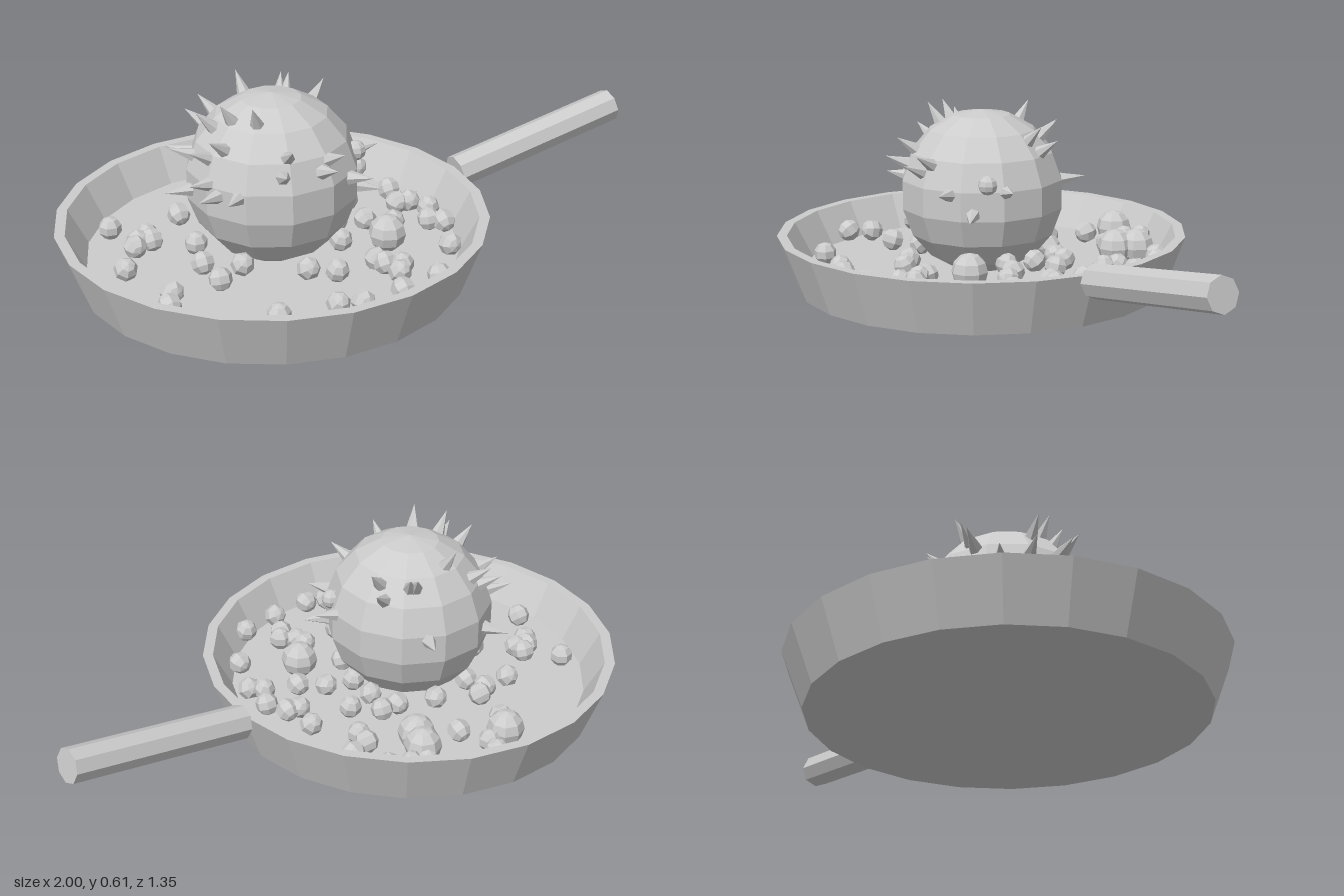
import * as THREE from 'three';

const UP = new THREE.Vector3(0, 1, 0);

export function createModel() {
  const model = new THREE.Group();
  const grey = new THREE.MeshStandardMaterial({ color: 0xcccccc, flatShading: true });
  grey.name = 'grey';

  const add = (parent, name, geometry, x = 0, y = 0, z = 0) => {
    const mesh = new THREE.Mesh(geometry, grey);
    mesh.name = name;
    mesh.position.set(x, y, z);
    parent.add(mesh);
    return mesh;
  };

  // Pan: one closed wall-and-floor profile turned around its axis
  const cx = -0.321;
  const profile = [[0, 0], [0.614, 0], [0.681, 0.182], [0.648, 0.182], [0.587, 0.067], [0, 0.067]]
    .map(([r, y]) => new THREE.Vector2(r, y));
  add(model, 'pan', new THREE.LatheGeometry(profile, 22, Math.PI / 2), cx, 0, 0);

  // Handle: octagonal bar, tilted slightly upwards
  const bar = new THREE.CylinderGeometry(0.056, 0.056, 0.635, 8);
  bar.rotateZ(-Math.PI / 2 + 0.17);
  add(model, 'handle', bar, 0.678, 0.216, 0);

  // Spiky ball in the middle of the pan
  const ball = new THREE.Group();
  ball.name = 'spikyBall';
  ball.position.set(-0.317, 0.318, 0);
  model.add(ball);
  const body = new THREE.SphereGeometry(0.275, 12, 9);
  body.rotateY(Math.PI / 12);
  add(ball, 'ballBody', body);

  // Spikes: directions from the centre of the ball
  const spikes = [
    [-0.35, -0.01, -0.06], [-0.33, 0.07, 0.09], [-0.30, 0.155, 0.05], [-0.26, 0.20, 0.10],
    [-0.24, 0.245, -0.03], [-0.19, 0.28, 0.04], [-0.13, 0.29, 0.13], [-0.31, 0.03, 0.13],
    [-0.24, 0.04, 0.20], [-0.11, 0.13, 0.30], [-0.075, 0.19, 0.27], [0.05, 0.12, 0.31],
    [0.085, 0.15, 0.28], [0.24, 0.25, -0.09], [0.18, 0.27, -0.21], [0.26, 0.20, -0.14],
    [0.14, 0.24, -0.20], [0.33, 0.06, 0.08], [0.19, 0.045, 0.26],
    [0.24, -0.03, 0.18], [-0.02, 0.25, -0.17], [-0.19, 0.18, -0.26], [-0.14, 0.22, -0.25],
    [0.14, 0.04, -0.28], [-0.16, -0.01, -0.30], [-0.26, 0.08, -0.18], [-0.30, 0.12, -0.08],
  ];
  const cone = new THREE.ConeGeometry(0.025, 0.09, 6);
  for (const s of spikes) {
    const dir = new THREE.Vector3(...s).normalize();
    const spike = add(ball, 'spike', cone);
    spike.position.copy(dir).multiplyScalar(0.302);
    spike.quaternion.setFromUnitVectors(UP, dir);
  }

  // Small pellets scattered over the floor and around the foot of the ball: x, z
  const pellets = [
    [-0.75, -0.29], [-0.82, -0.01], [-0.76, 0.19], [-0.80, 0.26], [-0.60, 0.19], [-0.67, -0.19],
    [-0.71, -0.165], [-0.735, -0.13], [-0.67, -0.15], [-0.55, 0.47], [-0.37, 0.50], [-0.30, 0.525],
    [-0.16, 0.52], [-0.02, 0.50], [-0.27, 0.32], [-0.34, 0.265], [-0.13, 0.315], [-0.12, 0.35],
    [-0.08, 0.385], [-0.11, 0.42], [0.12, 0.345], [0.19, 0.20], [0.155, 0.165], [0.20, 0.09],
    [0.17, 0.02], [0.13, 0.01], [0.16, -0.09], [0.075, -0.225], [0.085, -0.275], [0.155, -0.295],
    [0.11, -0.41], [0, -0.46], [0.05, -0.45], [-0.18, -0.41], [-0.34, -0.43], [-0.20, -0.56],
    [-0.22, -0.51], [-0.375, -0.295], [-0.42, -0.27], [-0.52, -0.27], [0, -0.09], [-0.07, -0.165],
    [0.05, 0.12], [-0.02, 0.06],
    [-0.60, 0.07], [-0.56, -0.06], [-0.50, 0.14], [-0.13, -0.17], [-0.10, -0.07], [-0.11, 0.03],
    [-0.16, 0.15], [-0.40, -0.20], [-0.25, -0.22],
  ];
  const small = new THREE.SphereGeometry(0.038, 7, 5);
  pellets.forEach(([x, z], i) => {
    add(model, 'pellet', small, x, 0.114, z).rotation.set(i * 0.7, i * 1.3, 0);
  });

  // One pellet stuck to the side of the ball
  add(model, 'stuckPellet', new THREE.SphereGeometry(0.032, 8, 6), -0.085, 0.39, 0.115);

  // A few larger lumps
  const large = new THREE.SphereGeometry(0.06, 8, 6);
  for (const [x, z] of [[-0.285, -0.51], [-0.02, -0.42], [-0.05, -0.355], [-0.03, 0.215]]) {
    add(model, 'lump', large, x, 0.134, z);
  }

  return model;
}
